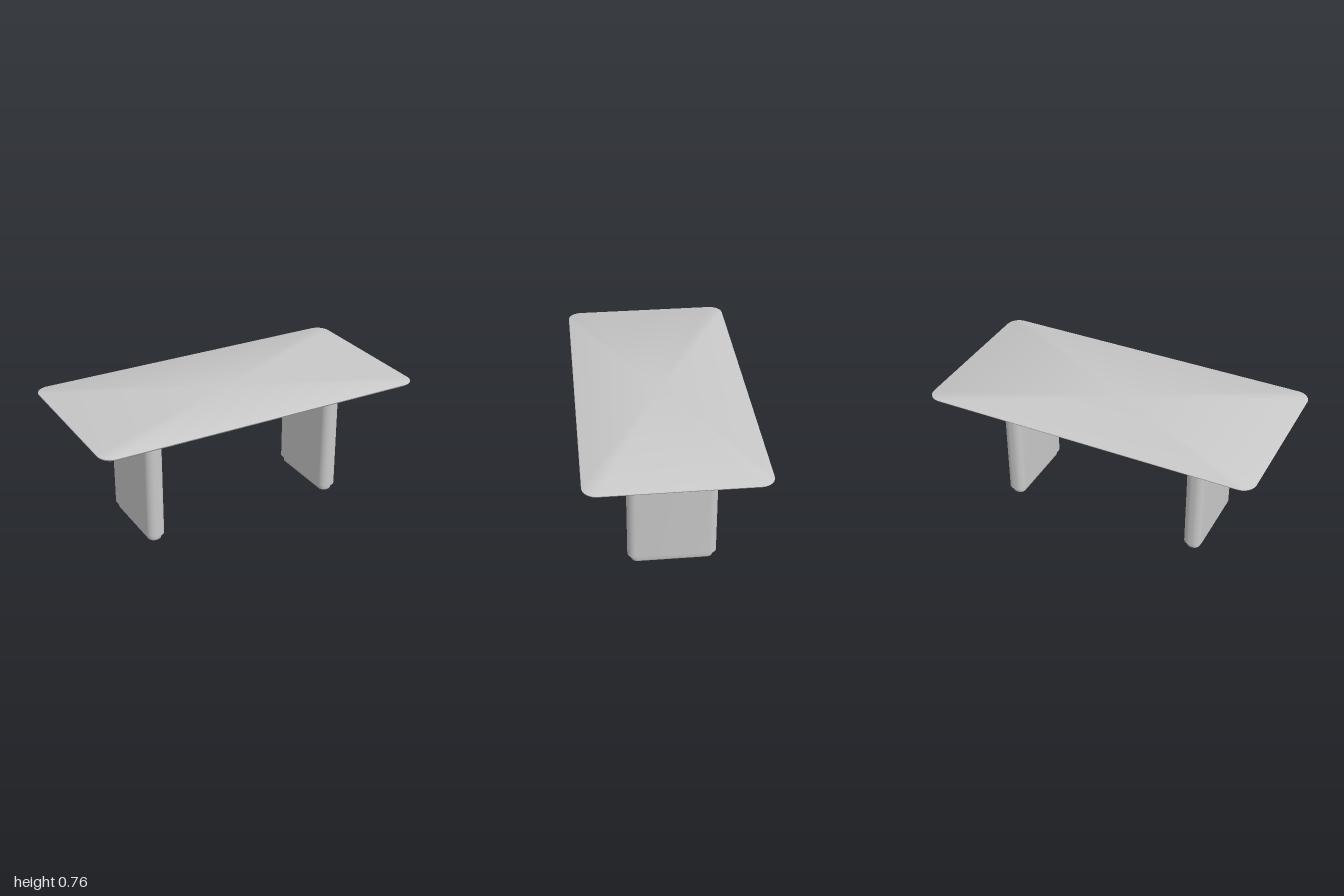
import * as THREE from 'three';
import { toCreasedNormals } from 'three/addons/utils/BufferGeometryUtils.js';

const CORNER_STEPS = 10;

// One rounded-rectangle outline at height y
function ring(y, halfX, halfZ, radius) {
  const points = [];
  const signs = [[1, 1], [-1, 1], [-1, -1], [1, -1]];
  signs.forEach(([sx, sz], corner) => {
    for (let i = 0; i <= CORNER_STEPS; i++) {
      const a = (corner + i / CORNER_STEPS) * Math.PI / 2;
      points.push([
        sx * (halfX - radius) + radius * Math.cos(a),
        y,
        sz * (halfZ - radius) + radius * Math.sin(a),
      ]);
    }
  });
  return points;
}

// Closed solid through sections [y, halfX, halfZ, radius], bottom to top
function loft(sections) {
  const rings = sections.map((s) => ring(...s));
  const n = rings[0].length;
  const last = rings.length - 1;
  const bottom = [0, sections[0][0], 0];
  const top = [0, sections[last][0], 0];
  const positions = [];
  const face = (a, b, c) => positions.push(...a, ...b, ...c);
  for (let i = 0; i < n; i++) {
    const j = (i + 1) % n;
    face(bottom, rings[0][i], rings[0][j]);
    face(top, rings[last][j], rings[last][i]);
    for (let k = 0; k < last; k++) {
      const low = rings[k];
      const high = rings[k + 1];
      face(low[i], high[i], low[j]);
      face(low[j], high[i], high[j]);
    }
  }
  const geometry = new THREE.BufferGeometry();
  geometry.setAttribute('position', new THREE.Float32BufferAttribute(positions, 3));
  // Creasing merges nearby points, so it is done at a larger scale
  geometry.scale(100, 100, 100);
  return toCreasedNormals(geometry, Math.PI / 6).scale(0.01, 0.01, 0.01);
}

export function createModel() {
  const table = new THREE.Group();
  table.name = 'table';
  const grey = new THREE.MeshStandardMaterial({ color: 0xc8c8c8 });
  grey.name = 'light grey';

  const add = (parent, name, geometry, z = 0) => {
    const mesh = new THREE.Mesh(geometry, grey);
    mesh.name = name;
    mesh.position.z = z;
    parent.add(mesh);
  };

  // Thin top with an undercut, softened edge
  add(table, 'tableTop', loft([
    [0.744, 0.985, 0.485, 0.065],
    [0.750, 0.993, 0.493, 0.073],
    [0.756, 0.999, 0.499, 0.079],
    [0.759, 1.0, 0.5, 0.08],
    [0.762, 0.998, 0.498, 0.078],
    [0.763, 0.996, 0.496, 0.076],
  ]));

  // Panel leg, its bevelled mounting plate and its recessed foot
  const plate = loft([
    [0.728, 0.143, 0.293, 0.001],
    [0.736, 0.155, 0.305, 0.001],
    [0.740, 0.155, 0.305, 0.001],
  ]);
  const panel = loft([
    [0.042, 0.054, 0.255, 0.046],
    [0.745, 0.054, 0.255, 0.046],
  ]);
  const foot = loft([
    [0, 0.028, 0.223, 0.024],
    [0.002, 0.034, 0.229, 0.030],
    [0.007, 0.039, 0.234, 0.035],
    [0.014, 0.041, 0.236, 0.037],
    [0.044, 0.041, 0.236, 0.037],
  ]);

  for (const [name, x] of [['rightLeg', -0.586], ['leftLeg', 0.593]]) {
    const leg = new THREE.Group();
    leg.name = name;
    leg.position.x = x;
    add(leg, 'mountingPlate', plate, -0.005);
    add(leg, 'legPanel', panel, -0.005);
    add(leg, 'foot', foot, -0.005);
    table.add(leg);
  }
  return table;
}
